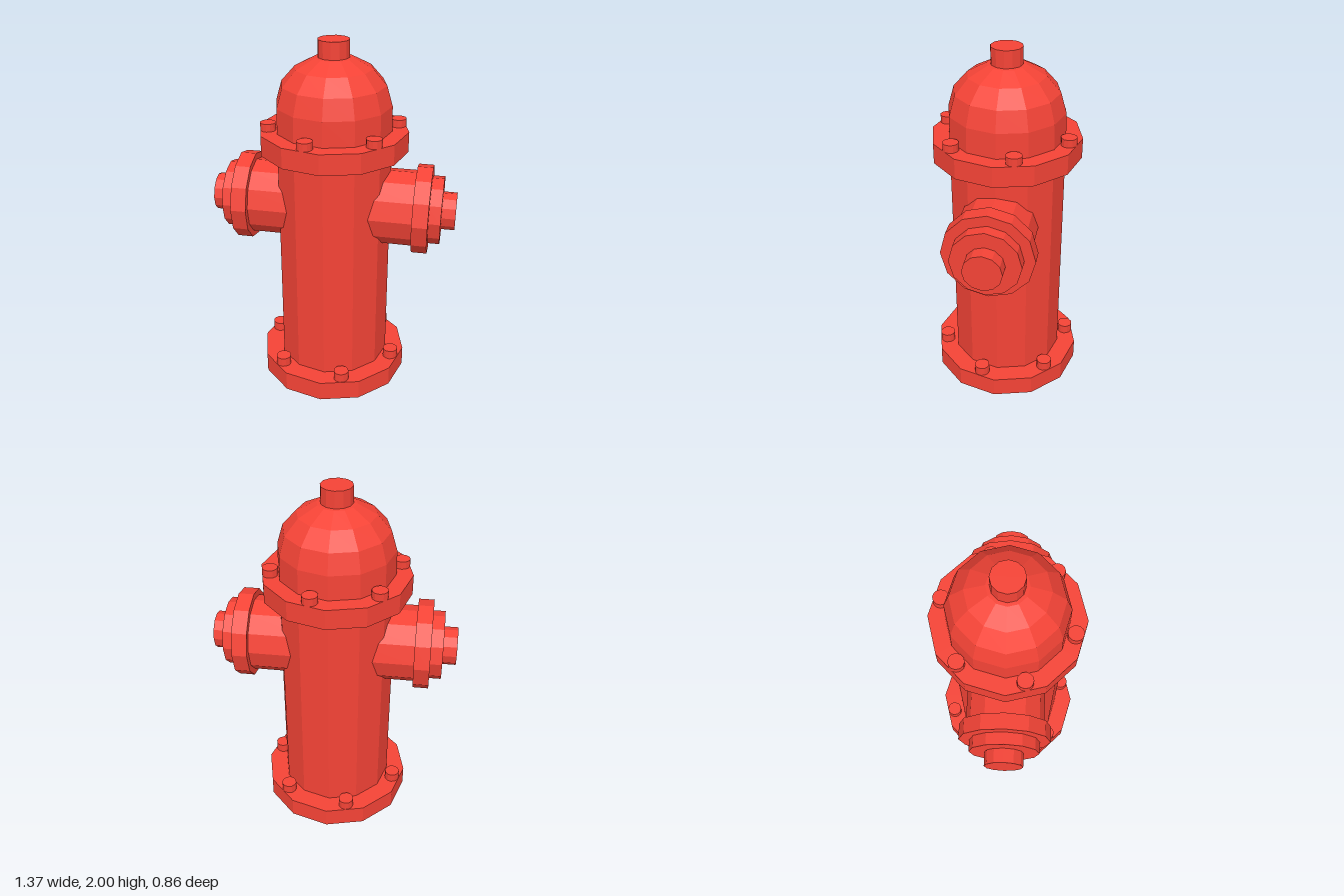
import * as THREE from 'three';

const SIDES = 12;
const red = new THREE.MeshStandardMaterial({ color: 0xf44336, flatShading: true });

// Vertical prism standing between two heights
function drum(name, radius, y0, y1) {
  const mesh = new THREE.Mesh(new THREE.CylinderGeometry(radius, radius, y1 - y0, SIDES), red);
  mesh.name = name;
  mesh.position.y = (y0 + y1) / 2;
  return mesh;
}

// Six bolts evenly spaced on a circle
function boltRing(name, radius, y0, y1, startDegrees) {
  const ring = new THREE.Group();
  ring.name = name;
  for (let i = 0; i < 6; i++) {
    const a = THREE.MathUtils.degToRad(startDegrees + i * 60);
    const bolt = drum('bolt', 0.043, y0, y1);
    bolt.position.x = Math.cos(a) * radius;
    bolt.position.z = Math.sin(a) * radius;
    ring.add(bolt);
  }
  return ring;
}

// Stepped outlet pointing to +x or -x
function outlet(name, side) {
  const group = new THREE.Group();
  group.name = name;
  const steps = [
    ['outletPipe', 0.213, 0.1, 0.47],
    ['outletCollar', 0.249, 0.455, 0.541],
    ['outletCap', 0.19, 0.53, 0.606],
    ['outletNut', 0.105, 0.6, 0.682],
  ];
  for (const [part, radius, x0, x1] of steps) {
    const mesh = drum(part, radius, x0, x1);
    mesh.rotation.z = -side * Math.PI / 2;
    mesh.position.set(side * (x0 + x1) / 2, 0, 0);
    group.add(mesh);
  }
  return group;
}

export function createModel() {
  const hydrant = new THREE.Group();
  hydrant.name = 'hydrant';

  // Upright column with its flanges, bolts and domed bonnet
  const column = new THREE.Group();
  column.name = 'column';
  column.position.x = -0.007;
  column.add(
    drum('baseFlange', 0.428, 0, 0.115),
    drum('barrel', 0.32, 0.1, 1.42),
    drum('topFlange', 0.41, 1.403, 1.517),
    boltRing('baseBolts', 0.37, 0.1, 0.168, 13),
    boltRing('topBolts', 0.355, 1.5, 1.56, -16),
    drum('operatingNut', 0.086, 1.88, 2)
  );

  const profile = [[0.32, 1.5], [0.317, 1.655], [0.285, 1.765], [0.21, 1.85], [0.105, 1.905], [0, 1.915]]
    .map(([r, y]) => new THREE.Vector2(r, y));
  const bonnet = new THREE.Mesh(new THREE.LatheGeometry(profile, SIDES), red);
  bonnet.name = 'bonnet';
  column.add(bonnet);
  hydrant.add(column);

  // Pair of side outlets on a very slightly sloping axis
  const outlets = new THREE.Group();
  outlets.name = 'outlets';
  outlets.position.y = 1.08;
  outlets.rotation.z = -0.012;
  outlets.add(outlet('leftOutlet', 1), outlet('rightOutlet', -1));
  hydrant.add(outlets);

  return hydrant;
}
